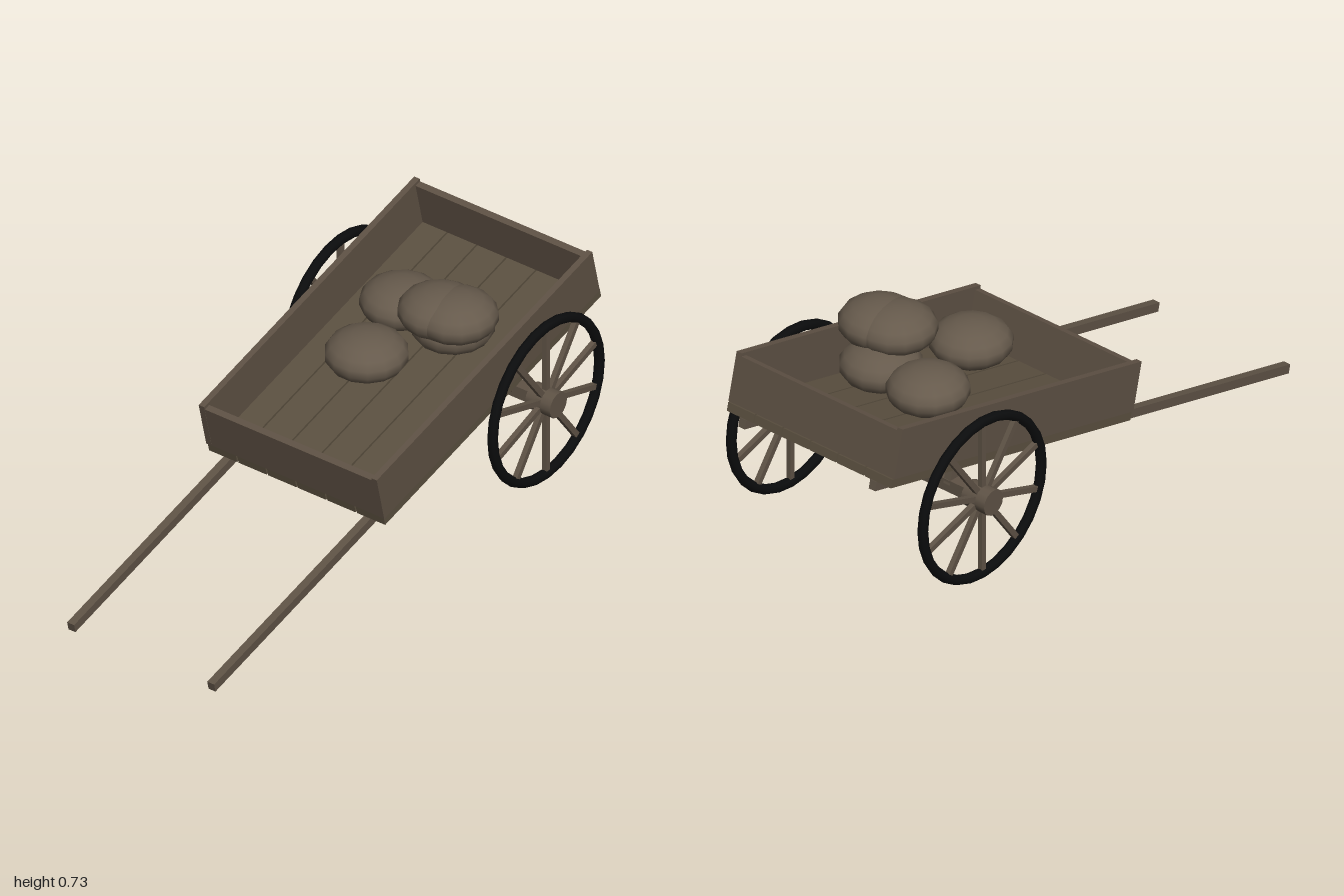
import * as THREE from 'three';

const mat = (name, color) => {
  const m = new THREE.MeshStandardMaterial({ color });
  m.name = name;
  return m;
};

export function createModel() {
  const boardWood = mat('boardWood', 0x5e5144);
  const slatWood = mat('slatWood', 0x5b5040);
  const poleWood = mat('poleWood', 0x5f5346);
  const iron = mat('blackRim', 0x0b0c0d);
  const cloth = mat('sackCloth', 0x665a4c);

  const model = new THREE.Group();
  model.name = 'handcart';

  const add = (parent, name, geometry, material, x = 0, y = 0, z = 0) => {
    const mesh = new THREE.Mesh(geometry, material);
    mesh.name = name;
    mesh.position.set(x, y, z);
    parent.add(mesh);
    return mesh;
  };
  // Box given by its limits on y and z, centred at x
  const plank = (parent, name, material, x, width, y0, y1, z0, z1) =>
    add(parent, name, new THREE.BoxGeometry(width, y1 - y0, z1 - z0), material, x, (y0 + y1) / 2, (z0 + z1) / 2);

  const AXLE_Y = 0.318, AXLE_Z = -0.62;

  // Tilted body, with its origin on the axle
  const body = new THREE.Group();
  body.name = 'body';
  body.position.set(0, AXLE_Y, AXLE_Z);
  body.rotation.x = 0.23;
  model.add(body);

  // Floor slats with narrow gaps
  for (let i = 0; i < 6; i++) {
    plank(body, 'floorSlat', slatWood, (i - 2.5) * 0.12, 0.114, 0.09, 0.121, -0.405, 0.782);
  }

  // Side boards, shafts and axle brackets
  for (const s of [-1, 1]) {
    plank(body, 'sideBoard', boardWood, s * 0.35, 0.022, 0.122, 0.298, -0.4, 0.785);
    plank(body, 'shaft', poleWood, s * 0.284, 0.028, 0.058, 0.09, -0.408, 1.642);
    plank(body, 'axleBracket', poleWood, s * 0.284, 0.028, 0, 0.058, -0.025, 0.025);
  }

  // End boards
  plank(body, 'frontBoard', boardWood, 0, 0.678, 0.122, 0.287, 0.76, 0.784);
  plank(body, 'backBoard', boardWood, 0, 0.678, 0.122, 0.287, -0.399, -0.375);

  // Axle beam
  add(model, 'axle', new THREE.BoxGeometry(0.76, 0.045, 0.045), poleWood, 0, AXLE_Y, AXLE_Z);

  // Wheels: rim, hub and ten spokes
  const rimGeometry = new THREE.TorusGeometry(0.286, 0.0175, 8, 28).rotateY(Math.PI / 2);
  const hubGeometry = new THREE.CylinderGeometry(0.046, 0.046, 0.1, 14).rotateZ(Math.PI / 2);
  const spokeGeometry = new THREE.BoxGeometry(0.018, 0.25, 0.02).translate(0, 0.155, 0);
  for (const s of [-1, 1]) {
    const wheel = new THREE.Group();
    wheel.name = s > 0 ? 'leftWheel' : 'rightWheel';
    wheel.position.set(s * 0.417, AXLE_Y, AXLE_Z);
    model.add(wheel);
    add(wheel, 'rim', rimGeometry, iron);
    add(wheel, 'hub', hubGeometry, poleWood);
    for (let i = 0; i < 10; i++) {
      add(wheel, 'spoke', spokeGeometry, poleWood).rotation.x = (i * Math.PI) / 5;
    }
  }

  // Flattened round sacks
  const sackGeometry = new THREE.SphereGeometry(1, 14, 9).scale(0.14, 0.078, 0.14);
  const sacks = [
    [0, 0.553, -0.21],
    [-0.092, 0.553, -0.52],
    [0.122, 0.553, -0.51],
    [0.13, 0.655, -0.43],
    [0.19, 0.655, -0.44],
  ];
  sacks.forEach(([x, y, z], i) => {
    add(model, 'sack', sackGeometry, cloth, x, y, z).rotation.y = i * 0.7;
  });

  return model;
}
